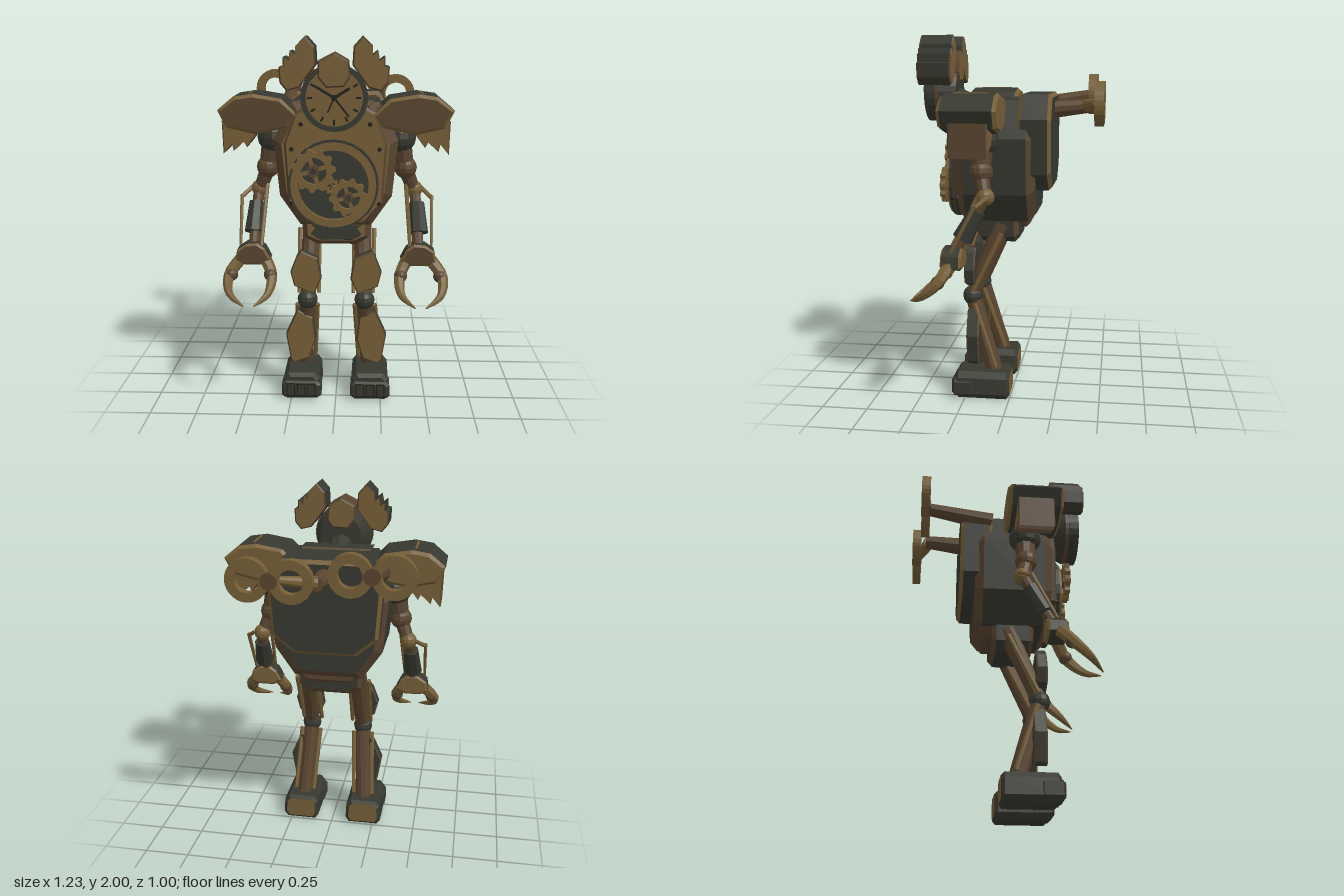
import * as THREE from 'three';

const mat = (name, color) => {
  const m = new THREE.MeshStandardMaterial({ color });
  m.name = name;
  return m;
};
const V = (x, y, z) => new THREE.Vector3(x, y, z);

export function createModel() {
  const bronze = mat('bronze', 0x755e37), brown = mat('brown', 0x58442f);
  const dark = mat('dark iron', 0x37382f), black = mat('black', 0x20201b);
  const model = new THREE.Group();
  model.name = 'clockworkRobot';

  const add = (name, geo, material, parent = model) => {
    const g = geo.index ? geo.toNonIndexed() : geo;
    g.computeVertexNormals(); // faceted
    const m = new THREE.Mesh(g, material);
    m.name = name;
    parent.add(m);
    return m;
  };
  const box = (name, w, h, d, x, y, z, m, parent, rz = 0) => {
    const o = add(name, new THREE.BoxGeometry(w, h, d), m, parent);
    o.position.set(x, y, z);
    o.rotation.z = rz;
    return o;
  };
  const ball = (name, r, x, y, z, m, parent) =>
    add(name, new THREE.SphereGeometry(r, 12, 8), m, parent).position.set(x, y, z);
  const limb = (name, a, b, r1, r2, m, parent, seg = 10) => {
    const o = add(name, new THREE.CylinderGeometry(r2, r1, a.distanceTo(b), seg), m, parent);
    o.position.copy(a).lerp(b, 0.5);
    o.quaternion.setFromUnitVectors(V(0, 1, 0), b.clone().sub(a).normalize());
    return o;
  };
  // Disc or drum facing +z
  const drum = (name, r1, r2, z0, z1, x, y, m, parent, seg = 28) =>
    limb(name, V(x, y, z0), V(x, y, z1), r1, r2, m, parent, seg);
  const ring = (name, r, hole, z0, z1, x, y, m, parent, teeth = 0) => {
    const pts = [], n = teeth ? teeth * 4 : 28;
    for (let i = 0; i < n; i++) {
      const a = i / n * Math.PI * 2, q = teeth && i % 4 > 1 ? r * 0.84 : r;
      pts.push(new THREE.Vector2(q * Math.cos(a), q * Math.sin(a)));
    }
    const s = new THREE.Shape(pts);
    s.holes.push(new THREE.Path().absarc(0, 0, hole, 0, Math.PI * 2, true));
    const o = add(name, new THREE.ExtrudeGeometry(s, { depth: z1 - z0, bevelEnabled: false, curveSegments: 14 }), m, parent);
    o.position.set(x, y, z0);
  };
  // Outline in x,y pushed along z, with bevelled ends; colours: front, back, bevel, side
  const slab = (name, outline, z0, z1, bevel, mats, parent, s = 1) => {
    let p = outline.map(([x, y]) => new THREE.Vector2(x * s, y));
    if (THREE.ShapeUtils.isClockWise(p)) p.reverse();
    const b = new THREE.Box2().setFromPoints(p);
    const c = b.getCenter(new THREE.Vector2()), h = b.getSize(new THREE.Vector2()).multiplyScalar(0.5);
    const inner = p.map(q => new THREE.Vector2(c.x + (q.x - c.x) * (1 - bevel / h.x), c.y + (q.y - c.y) * (1 - bevel / h.y)));
    const loops = [[inner, z0], [p, z0 + bevel], [p, z1 - bevel], [inner, z1]];
    const pos = [], geo = new THREE.BufferGeometry();
    const put = (k, i) => pos.push(loops[k][0][i].x, loops[k][0][i].y, loops[k][1]);
    const group = (m, fn) => {
      const start = pos.length / 3;
      fn();
      geo.addGroup(start, pos.length / 3 - start, m);
    };
    const tris = THREE.ShapeUtils.triangulateShape(inner, []);
    group(0, () => tris.forEach(t => t.forEach(i => put(3, i))));
    group(1, () => tris.forEach(t => [t[0], t[2], t[1]].forEach(i => put(0, i))));
    [2, 3, 2].forEach((m, k) => group(m, () => p.forEach((_, i) => {
      const j = (i + 1) % p.length;
      put(k, i); put(k, j); put(k + 1, j);
      put(k, i); put(k + 1, j); put(k + 1, i);
    })));
    geo.setAttribute('position', new THREE.Float32BufferAttribute(pos, 3));
    return add(name, geo, mats, parent);
  };
  const both = half => [...half, ...half.map(([x, y]) => [-x, y]).reverse()];

  // Torso shell, backpack and pelvis
  slab('torso', both([[0.19, 1.0], [0.3, 1.16], [0.33, 1.46], [0.23, 1.66]]), -0.14, 0.29, 0.045, [bronze, dark, brown, dark]);
  slab('chestPlate', both([[0.15, 1.02], [0.25, 1.13], [0.27, 1.45], [0.21, 1.61], [0.12, 1.66]]), 0.27, 0.315, 0.012, [bronze, dark, brown, dark]);
  slab('backpack', both([[0.17, 1.17], [0.29, 1.27], [0.31, 1.56], [0.23, 1.69]]), -0.225, -0.045, 0.02, [brown, dark, bronze, dark]);
  slab('pelvis', both([[0.11, 0.87], [0.18, 0.91], [0.185, 1.02]]), -0.04, 0.19, 0.025, [bronze, dark, brown, dark]);
  slab('pelvisInlay', both([[0.09, 0.9], [0.14, 0.93], [0.11, 0.98]]), 0.186, 0.195, 0.003, [dark, dark, dark, dark]);
  slab('waistFlare', both([[0.13, 0.96], [0.21, 1.06]]), -0.1, 0.2, 0.02, [brown, brown, brown, brown]);
  slab('collar', both([[0.13, 1.58], [0.2, 1.67]]), 0.15, 0.3, 0.02, [bronze, dark, brown, dark]);

  // Porthole with gears
  const py = 1.235, px = -0.01;
  ring('portholeRing', 0.225, 0.185, 0.3, 0.35, px, py, bronze);
  ring('portholeEdge', 0.238, 0.222, 0.3, 0.335, px, py, dark);
  drum('portholeGlass', 0.19, 0.19, 0.3, 0.322, px, py, dark);
  const gear = (x, y, r, teeth, z) => {
    const g = new THREE.Group();
    g.name = 'gear';
    model.add(g);
    ring('gearRim', r, r * 0.6, z, z + 0.03, x, y, bronze, g, teeth);
    for (const a of [0.3, 0.3 + Math.PI / 2]) box('gearSpoke', r * 1.3, r * 0.17, 0.02, x, y, z + 0.015, bronze, g, a);
    drum('gearHub', r * 0.27, r * 0.27, z, z + 0.036, x, y, brown, g, 12);
    drum('gearAxle', r * 0.14, r * 0.14, 0.31, z + 0.04, x, y, dark, g, 8);
  };
  gear(-0.11, 1.32, 0.115, 11, 0.375);
  gear(0.07, 1.18, 0.1, 10, 0.37);
  gear(-0.015, 1.23, 0.04, 8, 0.345);
  for (const [x, y] of [[0.18, 1.55], [0.23, 1.42], [0.23, 1.13], [0.13, 1.05]])
    for (const s of [1, -1]) drum('chestRivet', 0.013, 0.01, 0.31, 0.325, x * s, y, black, model, 8);

  // Clock head
  const head = new THREE.Group();
  head.name = 'head';
  model.add(head);
  limb('neck', V(0, 1.58, 0.2), V(0, 1.66, 0.38), 0.08, 0.08, dark, head);
  drum('headShell', 0.12, 0.16, 0.31, 0.4, 0, 1.7, dark, head);
  drum('headDrum', 0.163, 0.163, 0.4, 0.455, 0, 1.7, brown, head);
  ring('clockRim', 0.168, 0.143, 0.42, 0.478, 0, 1.7, dark, head);
  drum('clockFace', 0.145, 0.145, 0.45, 0.464, 0, 1.7, bronze, head);
  for (let i = 0; i < 12; i++) {
    const a = i * Math.PI / 6;
    box('clockTick', 0.026, 0.01, 0.006, Math.cos(a) * 0.122, 1.7 + Math.sin(a) * 0.122, 0.466, black, head, a);
  }
  for (const [a, l, w] of [[0.55, 0.09, 0.014], [2.6, 0.11, 0.012], [-0.9, 0.12, 0.009], [-2.0, 0.08, 0.008]])
    box('clockHand', l, w, 0.006, Math.cos(a) * l / 2, 1.7 + Math.sin(a) * l / 2, 0.468, black, head, a);
  drum('clockPin', 0.016, 0.016, 0.46, 0.476, 0, 1.7, black, head, 10);
  slab('crest', [[0, 1.92], [0.07, 1.88], [0.08, 1.8], [0.05, 1.755], [-0.04, 1.75], [-0.08, 1.8], [-0.08, 1.88]],
    0.3, 0.49, 0.008, [bronze, bronze, brown, brown], head);
  const ear = [[0.14, 2], [0.19, 1.95], [0.19, 1.91], [0.215, 1.93], [0.225, 1.88], [0.25, 1.9], [0.25, 1.855],
    [0.272, 1.85], [0.268, 1.775], [0.235, 1.735], [0.175, 1.75], [0.09, 1.86], [0.095, 1.95]];
  for (const s of [1, -1]) slab('ear', ear, 0.31, 0.493, 0.008, [bronze, bronze, brown, dark], head, s);

  // Winding keys on the back
  const key = (name, x1, x2, y, z) => {
    const g = new THREE.Group();
    g.name = name;
    model.add(g);
    for (const x of [x1, x2]) ring('keyLoop', 0.112, 0.063, z, z + 0.048, x, y, bronze, g);
    drum('keyHub', 0.045, 0.045, z - 0.002, z + 0.052, (x1 + x2) / 2, y, brown, g, 10);
  };
  key('leftKey', 0.115, 0.338, 1.645, -0.5);
  key('rightKey', -0.388, -0.17, 1.677, -0.45);
  limb('leftKeyShaft', V(0, 1.6, -0.2), V(0, 1.62, -0.42), 0.05, 0.037, brown);
  limb('leftKeyLever', V(0, 1.62, -0.4), V(0.225, 1.645, -0.46), 0.038, 0.02, bronze);
  limb('rightKeyShaft', V(-0.28, 1.6, -0.05), V(-0.28, 1.665, -0.41), 0.05, 0.035, brown);

  // Tapered claw along a curve
  const claw = (pts, parent) => {
    const curve = new THREE.CatmullRomCurve3(pts), n = 12, r = 7;
    const g = new THREE.TubeGeometry(curve, n, 0.034, r), p = g.attributes.position, v = V(0, 0, 0);
    for (let i = 0; i < p.count; i++) {
      const t = Math.floor(i / (r + 1)) / n, c = curve.getPointAt(t);
      v.fromBufferAttribute(p, i).sub(c).multiplyScalar(1 - 0.92 * t ** 2).add(c);
      p.setXYZ(i, v.x, v.y, v.z);
    }
    add('claw', g, bronze, parent);
  };

  for (const s of [1, -1]) {
    const side = s > 0 ? 'left' : 'right';
    const P = (x, y, z) => V(x * s, y, z);
    const arm = new THREE.Group(), leg = new THREE.Group();
    arm.name = side + 'Arm';
    leg.name = side + 'Leg';
    model.add(arm, leg);

    // Shoulder pad with a jagged plate below
    slab('shoulderPad', [[0.19, 1.59], [0.28, 1.68], [0.43, 1.705], [0.53, 1.69], [0.615, 1.62], [0.57, 1.53], [0.42, 1.495], [0.25, 1.53]],
      0.02, 0.318, 0.018, [brown, bronze, bronze, dark], arm, s);
    box('padSlot', 0.012, 0.02, 0.18, s * 0.45, 1.697, 0.17, bronze, arm);
    slab('jaggedPlate', [[0.38, 1.54], [0.47, 1.42], [0.485, 1.45], [0.54, 1.4], [0.55, 1.44], [0.595, 1.385], [0.6, 1.56]],
      0.065, 0.262, 0.006, [bronze, bronze, brown, brown], arm, s);

    // Arm joints, forearm and rods
    ball('shoulderJoint', 0.09, s * 0.34, 1.46, 0.13, dark, arm);
    limb('upperArm', P(0.34, 1.46, 0.13), P(0.38, 1.27, 0.13), 0.065, 0.045, brown, arm);
    ball('armJoint', 0.062, s * 0.375, 1.295, 0.13, brown, arm);
    limb('lowerUpperArm', P(0.375, 1.29, 0.13), P(0.43, 1.15, 0.1), 0.042, 0.035, brown, arm);
    ball('elbow', 0.048, s * 0.425, 1.17, 0.1, bronze, arm);
    limb('forearm', P(0.43, 1.17, 0.1), P(0.445, 0.86, 0.27), 0.03, 0.03, brown, arm);
    limb('forearmGuard', P(0.44, 1.1, 0.14), P(0.447, 0.95, 0.22), 0.042, 0.055, dark, arm, 8);
    limb('outerRod', P(0.46, 1.18, 0.08), P(0.52, 1.13, 0.14), 0.012, 0.012, bronze, arm, 6);
    limb('outerRod', P(0.52, 1.14, 0.14), P(0.515, 0.89, 0.27), 0.011, 0.009, bronze, arm, 6);
    limb('innerRod', P(0.38, 1.2, 0.13), P(0.4, 0.89, 0.29), 0.012, 0.01, bronze, arm, 6);

    // Hand
    slab('palm', [[0.35, 0.82], [0.38, 0.88], [0.42, 0.91], [0.48, 0.905], [0.53, 0.87], [0.54, 0.81], [0.49, 0.79], [0.4, 0.79]],
      0.215, 0.325, 0.012, [brown, bronze, bronze, dark], arm, s);
    claw([P(0.51, 0.82, 0.28), P(0.57, 0.74, 0.33), P(0.56, 0.66, 0.42), P(0.475, 0.615, 0.498)], arm);
    claw([P(0.385, 0.82, 0.28), P(0.345, 0.74, 0.33), P(0.355, 0.66, 0.42), P(0.425, 0.615, 0.498)], arm);
    ball('knuckle', 0.036, s * 0.56, 0.74, 0.33, brown, arm);
    ball('knuckle', 0.036, s * 0.35, 0.74, 0.33, brown, arm);

    // Leg bones and rods
    limb('thigh', P(0.14, 0.98, 0.05), P(0.155, 0.57, 0.22), 0.055, 0.04, brown, leg);
    ball('knee', 0.056, s * 0.158, 0.565, 0.22, dark, leg);
    limb('shin', P(0.158, 0.57, 0.22), P(0.185, 0.12, 0.09), 0.045, 0.045, brown, leg);
    for (const x of [0.1, 0.21]) {
      limb('thighRod', P(x, 0.93, 0.05), P(x - 0.005, 0.6, 0.21), 0.014, 0.012, bronze, leg, 6);
      limb('shinRod', P(x + 0.005, 0.53, 0.2), P(x + 0.025, 0.17, 0.08), 0.014, 0.012, bronze, leg, 6);
    }

    // Armour plates
    slab('thighPlate', [[0.19, 0.85], [0.1, 0.81], [0.08, 0.69], [0.12, 0.605], [0.23, 0.65], [0.25, 0.73], [0.215, 0.82]],
      0.195, 0.255, 0.008, [bronze, dark, brown, dark], leg, s);
    slab('shinPlate', [[0.215, 0.505], [0.13, 0.46], [0.115, 0.33], [0.15, 0.22], [0.24, 0.19], [0.255, 0.21], [0.28, 0.36]],
      0.17, 0.24, 0.008, [bronze, dark, brown, dark], leg, s);

    // Foot with toe panels
    slab('foot', [[0.085, 0.03], [0.105, 0], [0.275, 0], [0.298, 0.03], [0.292, 0.12], [0.265, 0.152], [0.115, 0.152], [0.09, 0.12]],
      0, 0.305, 0.018, [dark, bronze, dark, dark], leg, s);
    slab('toeCap', [[0.08, 0.03], [0.1, 0.015], [0.285, 0.015], [0.302, 0.03], [0.3, 0.095], [0.28, 0.112], [0.105, 0.112], [0.082, 0.095]],
      0.2, 0.32, 0.012, [dark, dark, dark, dark], leg, s);
    for (const x of [0.135, 0.192, 0.249]) {
      box('toeFrame', 0.048, 0.075, 0.005, s * x, 0.064, 0.321, black, leg);
      box('toePanel', 0.036, 0.062, 0.005, s * x, 0.064, 0.323, dark, leg);
    }
  }
  return model;
}
